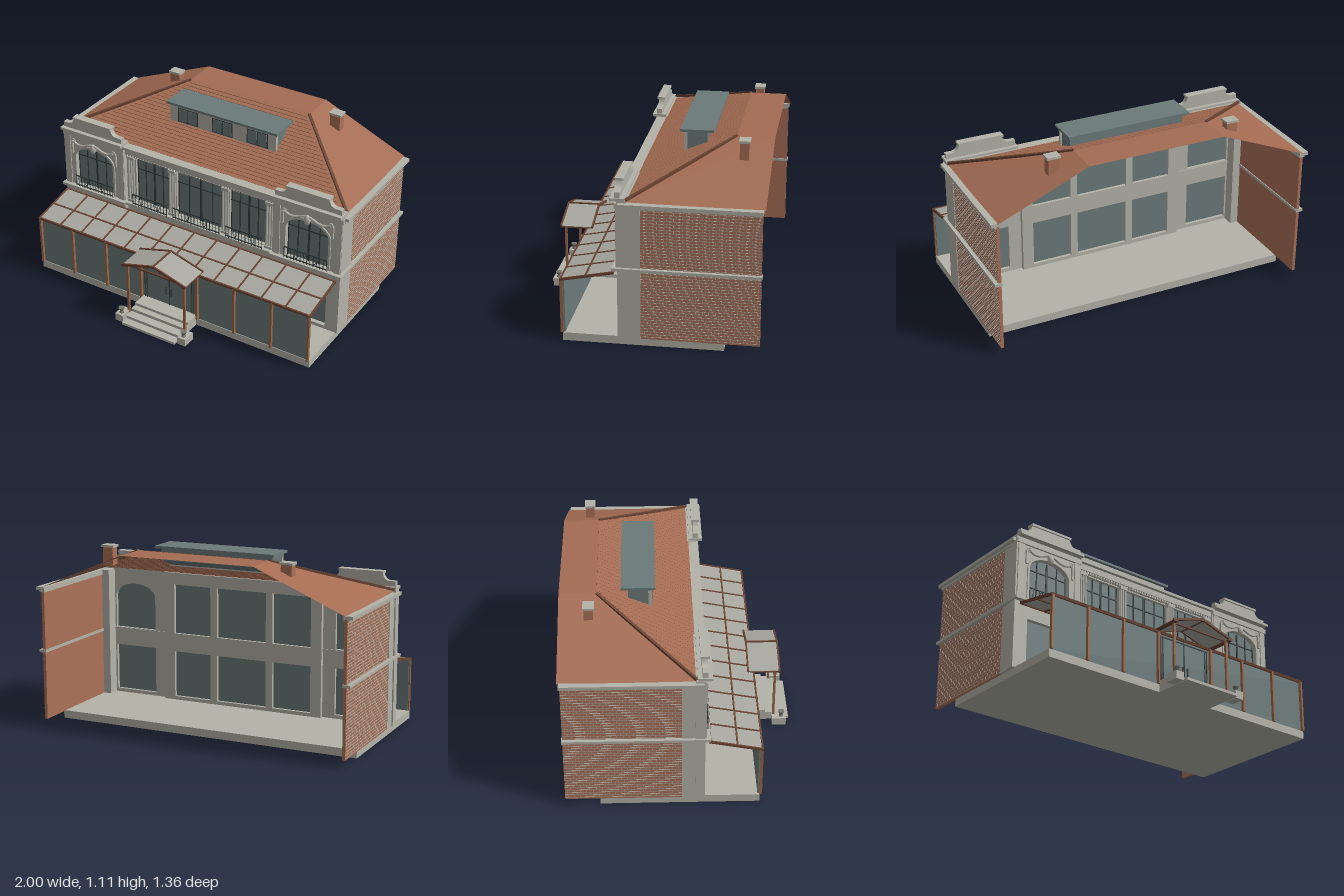
import * as THREE from 'three';
import { mergeGeometries } from 'three/addons/utils/BufferGeometryUtils.js';

const mat = (name, color, side = THREE.FrontSide) => {
  const m = new THREE.MeshStandardMaterial({ color, side });
  m.name = name;
  return m;
};

export function createModel() {
  const stone = mat('stone', 0xb4b3a9);
  const brick = mat('brick', 0xaa7158);
  const tile = mat('roofTile', 0xa46c53, THREE.DoubleSide);
  const darkWood = mat('darkWood', 0x6b4432);
  const wood = mat('wood', 0x96674a);
  const glass = mat('glass', 0x6b7b7a);
  const iron = mat('iron', 0x333d3d);
  const panel = mat('canopyPanel', 0xa8a79f);
  const urnGrey = mat('urnGrey', 0x77766f);

  const model = new THREE.Group();
  const add = (name, geo, m, parent = model) => {
    const mesh = new THREE.Mesh(geo, m);
    mesh.name = name;
    parent.add(mesh);
    return mesh;
  };
  const boxGeo = (x0, x1, y0, y1, z0, z1) =>
    new THREE.BoxGeometry(Math.abs(x1 - x0), y1 - y0, z1 - z0)
      .translate((x0 + x1) / 2, (y0 + y1) / 2, (z0 + z1) / 2);
  const box = (name, m, ...b) => add(name, boxGeo(...b), m);
  const merged = (name, m, list) => add(name, mergeGeometries(list), m);
  const pair = (name, m, x0, x1, ...b) => [-1, 1].forEach(s => box(name, m, s * x0, s * x1, ...b));
  const rectPath = (x0, x1, y0, y1, P = THREE.Path) =>
    new P([[x0, y0], [x1, y0], [x1, y1], [x0, y1]].map(p => new THREE.Vector2(...p)));
  const extrude = (shape, z0, z1) =>
    new THREE.ExtrudeGeometry(shape, { depth: z1 - z0, bevelEnabled: false, curveSegments: 16 }).translate(0, 0, z0);

  // Floor slab, porch platform and steps
  box('floorSlab', stone, -0.96, 0.96, 0, 0.048, -0.465, 0.445);
  box('porchPlatform', stone, -0.19, 0.19, 0, 0.07, 0.13, 0.535);
  box('upperStep', stone, -0.19, 0.19, 0, 0.053, 0.535, 0.575);
  box('middleStep', stone, -0.19, 0.19, 0, 0.034, 0.575, 0.63);
  box('lowerStep', stone, -0.187, 0.187, 0, 0.016, 0.63, 0.68);
  pair('stepPlinth', stone, 0.195, 0.25, 0, 0.048, 0.575, 0.66);
  const urn = new THREE.LatheGeometry([[0, 0], [0.013, 0], [0.013, 0.006], [0.006, 0.011], [0.014, 0.022],
    [0.019, 0.033], [0.019, 0.037], [0, 0.033]].map(p => new THREE.Vector2(...p)), 16);
  [-1, 1].forEach(s => add('urn', urn, urnGrey).position.set(s * 0.222, 0.048, 0.632));

  // Brick side walls with raised mortar joints
  pair('brickSideWall', brick, 0.95, 0.968, 0.045, 0.83, -0.665, 0);
  for (const s of [-1, 1]) {
    const joints = [], course = 0.0175, x0 = s * 0.966, x1 = s * 0.9695;
    for (let i = 0; i < 44; i++) {
      const y = 0.056 + i * course;
      joints.push(boxGeo(x0, x1, y, y + 0.003, -0.665, 0));
      for (let j = 0; j < 18; j++) {
        const z = -0.65 + j * 0.036 + (i % 2) * 0.018;
        joints.push(boxGeo(x0, x1, y, Math.min(y + course, 0.83), z, z + 0.0025));
      }
    }
    merged('mortarJoints', stone, joints);
  }
  pair('sideUpperCornice', stone, 0.945, 1.0, 0.832, 0.852, -0.67, 0.12);
  pair('sideFrieze', stone, 0.945, 0.98, 0.82, 0.832, -0.665, 0.12);
  pair('sideMiddleBand', stone, 0.945, 0.99, 0.455, 0.472, -0.67, 0.16);
  pair('cornerPier', stone, 0.9, 0.972, 0.045, 0.85, 0, 0.13);

  // Iron balcony railing in front of one window
  const railing = (x0, x1) => {
    const z = 0.145, parts = [boxGeo(x0, x1, 0.545, 0.551, z, z + 0.006), boxGeo(x0, x1, 0.482, 0.487, z, z + 0.006)];
    const n = Math.round((x1 - x0) / 0.022), c = (x0 + x1) / 2;
    for (let i = 0; i <= n; i++) {
      const x = x0 + (x1 - x0) * i / n;
      parts.push(boxGeo(x - 0.0015, x + 0.0015, 0.473, 0.55, z + 0.001, z + 0.004));
    }
    for (const d of [-0.06, 0.06])
      parts.push(new THREE.TorusGeometry(0.017, 0.0022, 6, 16).scale(0.7, 1.4, 1).translate(c + d, 0.516, z + 0.003));
    merged('balconyRailing', iron, parts);
  };
  // Glazing bars over one window
  const glazingBars = (x0, x1, y0, y1, z, splits, yBar) => {
    const parts = [boxGeo(x0, x1, yBar, yBar + 0.006, z, z + 0.006)];
    for (const f of splits) {
      const x = x0 + (x1 - x0) * f;
      parts.push(boxGeo(x - 0.003, x + 0.003, y0, y1, z, z + 0.006));
    }
    merged('glazingBars', iron, parts);
  };

  // End wings with arched upper windows
  const archPath = (P, c, w, y0, ySpring, rise) => {
    const p = new P();
    p.moveTo(c - w, y0);
    p.lineTo(c + w, y0);
    p.lineTo(c + w, ySpring);
    p.absellipse(c, ySpring, w, rise, 0, Math.PI, false);
    p.lineTo(c - w, y0);
    return p;
  };
  for (const s of [-1, 1]) {
    const c = s * 0.75;
    const wall = rectPath(c - 0.23, c + 0.222, 0.045, 0.865, THREE.Shape);
    wall.holes.push(archPath(THREE.Path, c, 0.14, 0.475, 0.68, 0.083), rectPath(c - 0.14, c + 0.14, 0.07, 0.36));
    add('wingWall', extrude(wall, 0.075, 0.13), stone);
    box('wingGlass', glass, c - 0.15, c + 0.15, 0.46, 0.77, 0.095, 0.104);
    box('wingLowerGlass', glass, c - 0.15, c + 0.15, 0.06, 0.37, 0.095, 0.104);
    glazingBars(c - 0.14, c + 0.14, 0.475, 0.755, 0.104, [0.02, 0.25, 0.49, 0.51, 0.75, 0.98], 0.68);
    railing(c - 0.14, c + 0.14);
    // Arch surround, keystone, scrolls and swags
    const trim = archPath(THREE.Shape, c, 0.153, 0.475, 0.68, 0.097);
    trim.holes.push(archPath(THREE.Path, c, 0.14, 0.475, 0.68, 0.083));
    add('archSurround', extrude(trim, 0.13, 0.138), stone);
    add('keystone', new THREE.SphereGeometry(0.02, 12, 8).scale(1, 1.7, 0.9).translate(c, 0.775, 0.142), stone);
    for (const d of [-1, 1]) {
      add('scroll', new THREE.TorusGeometry(0.012, 0.005, 6, 14).translate(c + d * 0.15, 0.79, 0.14), stone);
      const swag = new THREE.CatmullRomCurve3([[0.15, 0.79], [0.115, 0.772], [0.07, 0.775], [0.035, 0.79], [0, 0.8]]
        .map(p => new THREE.Vector3(c + d * p[0], p[1], 0.142)));
      add('swag', new THREE.TubeGeometry(swag, 16, 0.008, 6), stone);
      box('pendant', stone, c + d * 0.163 - 0.006, c + d * 0.163 + 0.006, 0.7, 0.785, 0.13, 0.143);
      box('wingPilaster', stone, c + d * 0.2 - 0.02, c + d * 0.2 + 0.02, 0.472, 0.82, 0.13, 0.137);
    }
    // Wing bands, cornice and curved parapet
    box('wingMiddleBand', stone, c - 0.235, c + 0.235, 0.455, 0.472, 0.07, 0.16);
    box('wingFrieze', stone, c - 0.228, c + 0.228, 0.82, 0.85, 0.075, 0.142);
    box('wingCornice', stone, c - 0.225, c + 0.225, 0.862, 0.878, 0.085, 0.168);
    const par = new THREE.Shape();
    par.moveTo(c - 0.215, 0.878);
    par.lineTo(c + 0.215, 0.878);
    par.lineTo(c + 0.215, 0.91);
    par.lineTo(c + 0.175, 0.91);
    par.quadraticCurveTo(c + 0.145, 0.912, c + 0.135, 0.95);
    par.lineTo(c - 0.135, 0.95);
    par.quadraticCurveTo(c - 0.145, 0.912, c - 0.175, 0.91);
    par.lineTo(c - 0.215, 0.91);
    add('parapet', extrude(par, 0.11, 0.142), stone);
    box('parapetCap', stone, c - 0.14, c + 0.14, 0.95, 0.964, 0.102, 0.152);
  }

  // Central wall with three bays on each floor
  const bays = [[-0.46, -0.21], [-0.165, 0.165], [0.21, 0.46]];
  const centre = rectPath(-0.53, 0.53, 0.045, 0.85, THREE.Shape);
  for (const [a, b] of bays) {
    centre.holes.push(rectPath(a, b, 0.475, 0.785), rectPath(a, b, 0.07, 0.36));
    box('bayGlass', glass, a - 0.01, b + 0.01, 0.465, 0.79, 0.07, 0.079);
    box('bayLowerGlass', glass, a - 0.01, b + 0.01, 0.06, 0.37, 0.07, 0.079);
    glazingBars(a, b, 0.475, 0.785, 0.079, [0.02, 0.25, 0.485, 0.515, 0.75, 0.98], 0.7);
    railing(a, b);
  }
  add('centralWall', extrude(centre, 0.05, 0.1), stone);
  box('centralMiddleBand', stone, -0.53, 0.53, 0.455, 0.472, 0.05, 0.148);
  box('entablature', stone, -0.53, 0.53, 0.805, 0.845, 0.05, 0.122);
  box('centralCornice', stone, -0.53, 0.53, 0.843, 0.86, 0.05, 0.143);
  const dentils = [];
  for (let i = 0; i < 53; i++) dentils.push(boxGeo(-0.524 + i * 0.02, -0.513 + i * 0.02, 0.792, 0.806, 0.1, 0.118));
  merged('dentils', stone, dentils);

  // Clustered columns between the bays
  for (const x of [-0.488, -0.188, 0.188, 0.488]) {
    for (const d of [-0.017, 0, 0.017])
      add('column', new THREE.CylinderGeometry(0.0065, 0.0075, 0.29, 12).translate(x + d, 0.63, 0.112), stone);
    box('columnBase', stone, x - 0.026, x + 0.026, 0.472, 0.488, 0.1, 0.124);
    box('columnCapital', stone, x - 0.026, x + 0.026, 0.772, 0.792, 0.1, 0.124);
  }

  // Hipped roof, open at the back
  const E = s => [s * 0.965, 0.855, 0.08], R = s => [s * 0.42, 1.08, -0.465];
  const B = s => [s * 0.965, 0.85, -0.68], T = s => [s * 0.42, 1.08, -0.68];
  const quads = [[E(-1), E(1), R(1), R(-1)], [E(1), B(1), T(1), R(1)], [R(-1), R(1), T(1), T(-1)], [E(-1), R(-1), T(-1), B(-1)]];
  const roofGeo = new THREE.BufferGeometry();
  roofGeo.setAttribute('position', new THREE.Float32BufferAttribute(
    quads.flatMap(([a, b, c, d]) => [a, b, c, a, c, d]).flat(), 3));
  roofGeo.computeVertexNormals();
  add('roof', roofGeo, tile);

  // Overlapping tile courses on the front slope
  const slope = Math.atan2(0.225, 0.545), rows = 22, tiles = [];
  for (let i = 0; i < rows; i++) {
    const t = (i + 0.5) / rows, half = 0.945 - 0.545 * t, w = 0.04;
    for (let x = -half - (i % 2) * w / 2; x < half; x += w) {
      const a = Math.max(x, -half), b = Math.min(x + w - 0.002, half);
      if (b - a < 0.004) continue;
      tiles.push(new THREE.BoxGeometry(b - a, 0.005, 0.029).rotateX(slope - 0.14)
        .translate((a + b) / 2, 0.857 + 0.225 * t, 0.08 - 0.545 * t));
    }
  }
  merged('roofTiles', tile, tiles);
  for (const s of [-1, 1]) {
    const a = new THREE.Vector3(...E(s)), b = new THREE.Vector3(...R(s));
    const beam = add('hipBeam', new THREE.BoxGeometry(0.016, 0.014, a.distanceTo(b)), darkWood);
    beam.position.copy(a).add(b).multiplyScalar(0.5).y += 0.006;
    beam.lookAt(b);
  }

  // Dormer with three windows
  const dormer = new THREE.Shape([[-0.29, 1.0], [-0.175, 0.955], [-0.175, 1.076], [-0.29, 1.076]].map(p => new THREE.Vector2(...p)));
  add('dormerBody', extrude(dormer, -0.36, 0.36).rotateY(-Math.PI / 2), glass);
  box('dormerFront', stone, -0.37, 0.37, 0.948, 1.076, -0.175, -0.155);
  box('dormerRoof', glass, -0.385, 0.385, 1.075, 1.09, -0.33, -0.135);
  for (const x of [-0.243, 0, 0.243]) {
    box('dormerFrame', iron, x - 0.072, x + 0.072, 0.962, 1.058, -0.156, -0.153);
    for (const d of [-0.034, 0.034])
      box('dormerPane', glass, x + d - 0.031, x + d + 0.031, 0.967, 1.053, -0.154, -0.151);
  }

  // Chimneys
  for (const [x, z, top] of [[-0.553, -0.51, 1.09], [0.575, -0.525, 1.113]]) {
    box('chimney', brick, x - 0.033, x + 0.033, 0.995, top - 0.014, z - 0.026, z + 0.026);
    box('chimneyCap', stone, x - 0.04, x + 0.04, top - 0.014, top, z - 0.032, z + 0.032);
  }

  // Glazed veranda front, posts and doors
  box('verandaGlass', glass, -0.95, 0.95, 0.048, 0.365, 0.433, 0.441);
  for (const x of [0.2, 0.455, 0.705, 0.95])
    pair('verandaPost', wood, x - 0.007, x + 0.007, 0.048, 0.37, 0.441, 0.459);
  box('doorHead', iron, -0.18, 0.18, 0.348, 0.354, 0.441, 0.446);
  for (const x of [-0.175, -0.16, 0, 0.16, 0.175])
    box('doorFrame', iron, x - 0.0025, x + 0.0025, 0.07, 0.35, 0.441, 0.446);
  pair('doorHandle', iron, 0.016, 0.022, 0.145, 0.2, 0.446, 0.454);

  // Sloping veranda canopy
  const canopy = new THREE.Group();
  canopy.name = 'verandaCanopy';
  canopy.position.set(0, 0.4, 0.305);
  canopy.rotation.x = Math.atan2(0.06, 0.3);
  model.add(canopy);
  add('canopyPanels', boxGeo(-0.955, 0.955, -0.001, 0.004, -0.153, 0.153), panel, canopy);
  for (let i = -6; i <= 6; i++)
    add('canopyRafter', boxGeo(i * 0.159 - 0.005, i * 0.159 + 0.005, -0.007, 0.008, -0.155, 0.157), darkWood, canopy);
  for (const z of [-0.15, 0.005, 0.15])
    add('canopyPurlin', boxGeo(-0.96, 0.96, -0.008, 0.008, z - 0.005, z + 0.005), darkWood, canopy);

  // Gabled porch roof
  const chevron = (w, top, bottom, t) => new THREE.Shape([[0, top], [-w, bottom], [-w, bottom - t], [0, top - t], [w, bottom - t], [w, bottom]]
    .map(p => new THREE.Vector2(...p)));
  add('porchRoof', extrude(chevron(0.22, 0.449, 0.386, 0.006), 0.42, 0.61), panel);
  for (const z of [0.415, 0.605])
    add('porchBargeboard', extrude(chevron(0.225, 0.456, 0.391, 0.015), z, z + 0.01), darkWood);
  box('porchRidge', darkWood, -0.005, 0.005, 0.438, 0.455, 0.415, 0.615);
  pair('porchEaveBeam', darkWood, 0.195, 0.222, 0.375, 0.383, 0.415, 0.615);
  box('porchTieBeam', darkWood, -0.21, 0.21, 0.374, 0.384, 0.58, 0.59);
  pair('porchPost', wood, 0.192, 0.206, 0.01, 0.385, 0.578, 0.592);

  return model;
}
